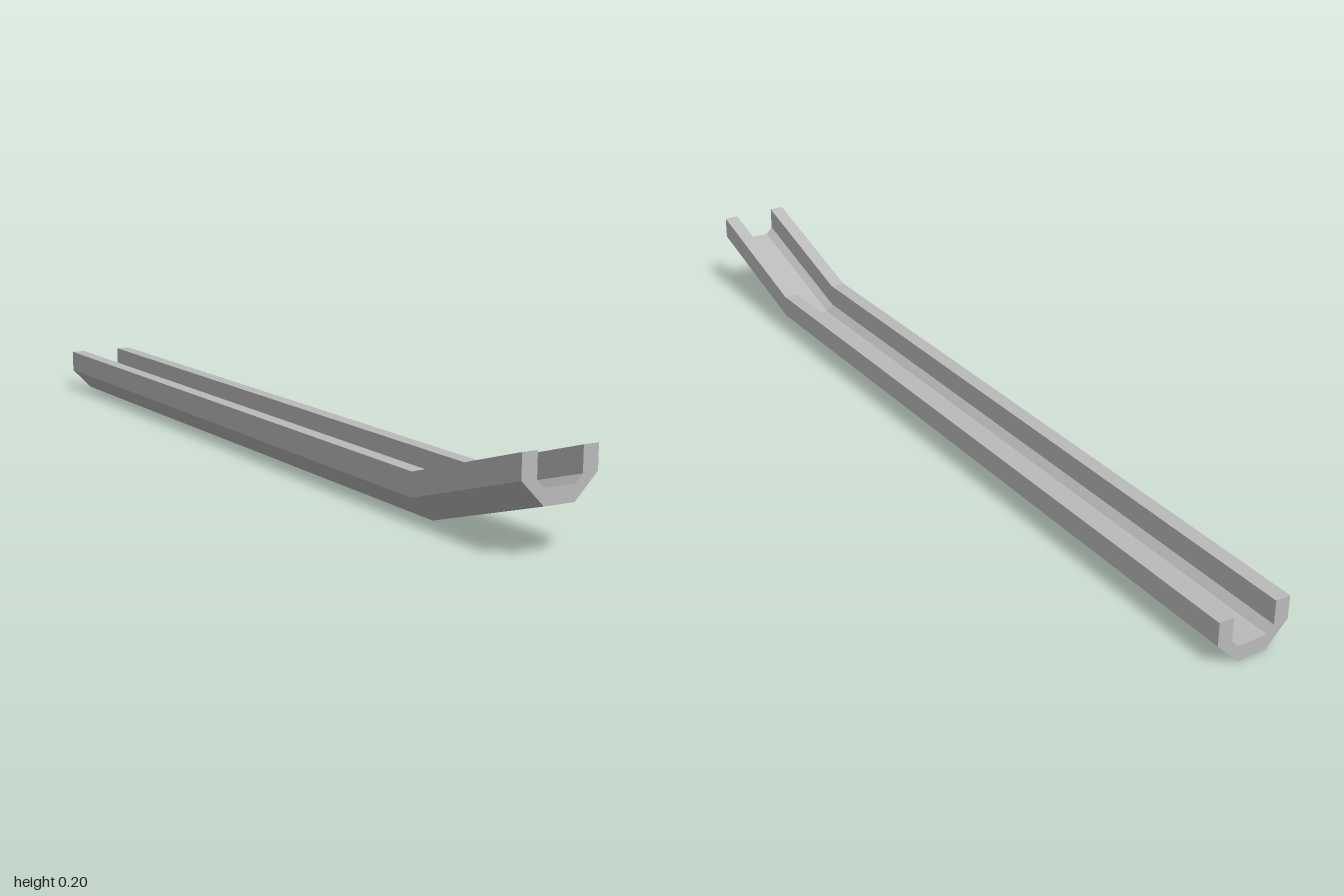
import * as THREE from 'three';

export function createModel() {
  const group = new THREE.Group();
  group.name = 'channel';
  const grey = new THREE.MeshStandardMaterial({ color: 0xbababa });
  grey.name = 'grey';

  // Half of the U section from the outer bottom to the inner floor, then mirrored
  const half = [[0.033, 0], [0.082, 0.05], [0.082, 0.1], [0.049, 0.1], [0.049, 0.049], [0.034, 0.033]];
  const mirrored = half.map(([x, y]) => [-x, y]).reverse();
  const section = new THREE.Shape([...half, ...mirrored].map(([x, y]) => new THREE.Vector2(x, y)));

  // Straight gutter in two lengths, with the front end slanting upward
  const bend = 0.667, rise = 0.1;
  const geometry = new THREE.ExtrudeGeometry(section, { depth: 2, steps: 2, bevelEnabled: false });
  const pos = geometry.attributes.position;
  for (let i = 0; i < pos.count; i++) {
    const z = pos.getZ(i) - 1;
    pos.setZ(i, Math.abs(z) < 0.01 ? bend : z);
    if (z > 0.5) pos.setY(i, pos.getY(i) + rise);
  }
  geometry.computeVertexNormals();

  const gutter = new THREE.Mesh(geometry, grey);
  gutter.name = 'gutter';
  group.add(gutter);
  return group;
}
